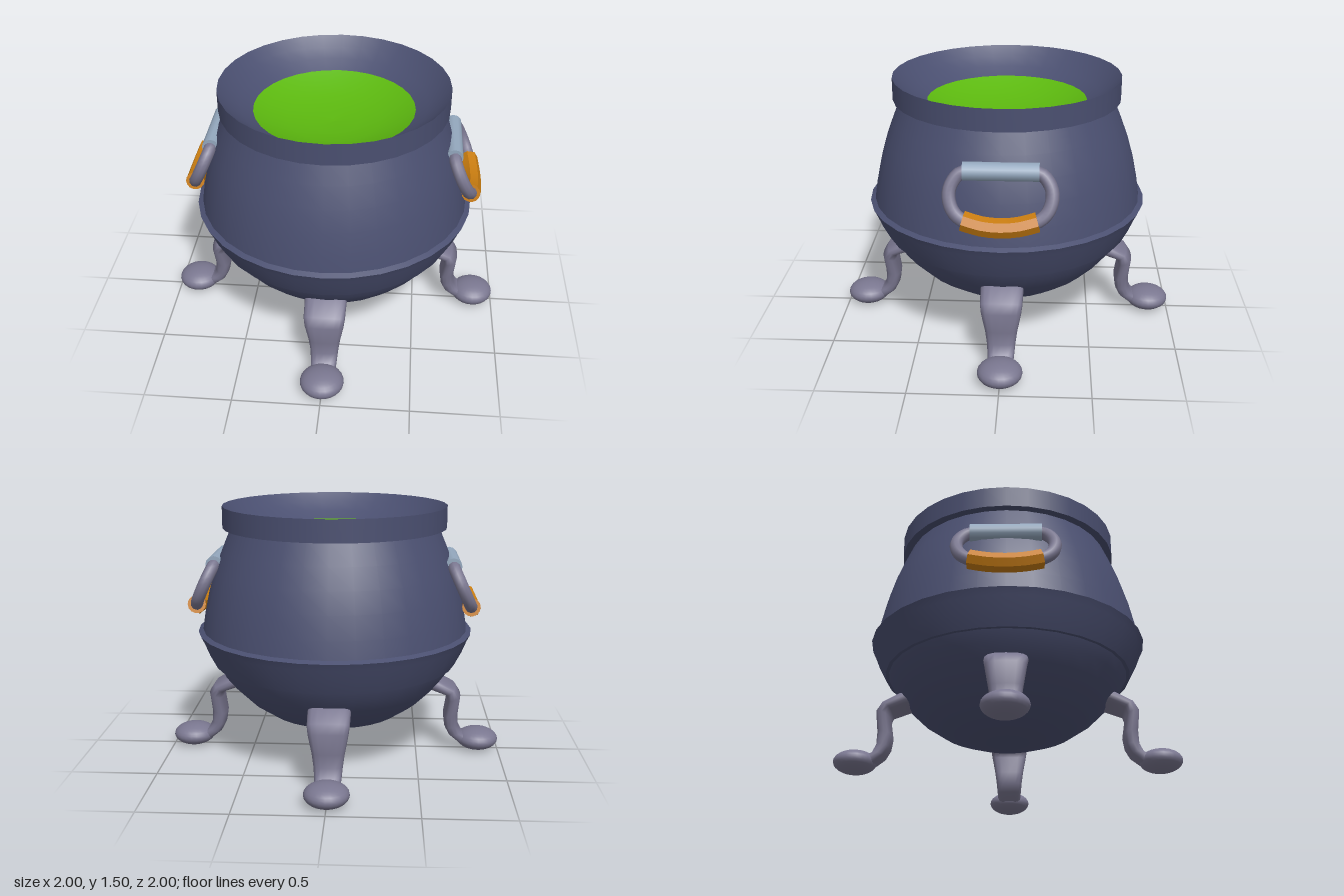
import * as THREE from 'three';
import { toCreasedNormals } from 'three/addons/utils/BufferGeometryUtils.js';

const material = (name, color) => {
  const m = new THREE.MeshStandardMaterial({ color });
  m.name = name;
  return m;
};

export function createModel() {
  const iron = material('dark iron', 0x4a4f70);
  const legIron = material('grey iron', 0x7a7790);
  const steel = material('pale steel', 0x94a8be);
  const copper = material('orange grip', 0xc87c10);
  const brew = material('green brew', 0x5cb80f);

  const model = new THREE.Group();
  model.name = 'cauldron';
  const add = (parent, name, geometry, mat) => {
    const mesh = new THREE.Mesh(geometry, mat);
    mesh.name = name;
    parent.add(mesh);
    return mesh;
  };
  const lathe = (name, points, mat) =>
    add(model, name, new THREE.LatheGeometry(points.map(p => new THREE.Vector2(...p)), 32), mat);

  // Pot, one lathe per smooth section so the edges between stay sharp
  lathe('bowl', [[0, 0.178], [0.13, 0.184], [0.27, 0.212], [0.4, 0.262], [0.52, 0.345],
    [0.61, 0.435], [0.67, 0.51], [0.705, 0.58]], iron);
  lathe('bandUnderside', [[0.69, 0.574], [0.722, 0.574]], iron);
  lathe('band', [[0.722, 0.574], [0.764, 0.655], [0.792, 0.725], [0.812, 0.766]], iron);
  lathe('bandTop', [[0.812, 0.766], [0.782, 0.78]], iron);
  lathe('shoulder', [[0.784, 0.776], [0.768, 0.88], [0.74, 1.01], [0.705, 1.13],
    [0.66, 1.25], [0.608, 1.375]], iron);
  lathe('rimUnderside', [[0.6, 1.374], [0.655, 1.374]], iron);
  lathe('rim', [[0.655, 1.374], [0.655, 1.5]], iron);
  lathe('rimInside', [[0.655, 1.5], [0.6, 1.445], [0.53, 1.395], [0.46, 1.355]], iron);
  lathe('brew', [[0.46, 1.355], [0.38, 1.32], [0.27, 1.288], [0.14, 1.268], [0, 1.262]], brew);

  // Leg stations: outer radius, outer y, inner radius, inner y, half width
  const stations = [
    [0.52, 0.5, 0.5, 0.42, 0.12], [0.62, 0.473, 0.58, 0.395, 0.12],
    [0.73, 0.412, 0.672, 0.362, 0.117], [0.764, 0.36, 0.682, 0.325, 0.11],
    [0.752, 0.24, 0.664, 0.22, 0.09], [0.755, 0.165, 0.674, 0.15, 0.08],
    [0.78, 0.115, 0.7, 0.1, 0.075], [0.84, 0.085, 0.76, 0.05, 0.07],
  ];
  const sides = 16;
  const soft = v => Math.sign(v) * Math.abs(v) ** 0.7;
  const positions = [], indices = [];
  stations.forEach(([or, oy, ir, iy, w], i) => {
    for (let j = 0; j < sides; j++) {
      const a = (j / sides) * Math.PI * 2;
      const c = soft(Math.cos(a)) / 2, s = soft(Math.sin(a));
      positions.push(s * w, (oy + iy) / 2 + c * (oy - iy), (or + ir) / 2 + c * (or - ir));
      if (i < stations.length - 1) {
        const k = (j + 1) % sides, p = i * sides, q = p + sides;
        indices.push(p + j, q + j, p + k, q + j, q + k, p + k);
      }
    }
  });
  const legGeometry = new THREE.BufferGeometry();
  legGeometry.setAttribute('position', new THREE.Float32BufferAttribute(positions, 3));
  legGeometry.setIndex(indices);
  legGeometry.computeVertexNormals();
  const footGeometry = new THREE.SphereGeometry(0.125, 24, 14).scale(1, 0.53, 1);

  // Four legs with rounded feet
  for (let i = 0; i < 4; i++) {
    const leg = new THREE.Group();
    leg.name = 'leg' + (i + 1);
    add(leg, 'shin', legGeometry, legIron);
    add(leg, 'foot', footGeometry, legIron).position.set(0, 0.07, 0.875);
    leg.rotation.y = i * Math.PI / 2;
    model.add(leg);
  }

  // Handle lies in a plane leaning out from the pot
  const onHandle = ([z, y]) => new THREE.Vector3(0.685 + (1.175 - y) * 0.46, y, z);
  const curve = points => new THREE.CatmullRomCurve3(points.map(onHandle));
  const half = [[0.15, 1.172], [0.215, 1.16], [0.262, 1.1], [0.268, 1.04], [0.24, 0.975], [0.18, 0.934]];
  const mirrored = half.map(([z, y]) => [-z, y]).reverse();
  const ringCurve = curve([...half, [0, 0.906], ...mirrored]);
  const gripCurve = curve([[0.195, 0.938], [0.1, 0.914], [0, 0.906], [-0.1, 0.914], [-0.195, 0.938]]);

  for (const side of [1, -1]) {
    const handle = new THREE.Group();
    handle.name = side > 0 ? 'leftHandle' : 'rightHandle';
    add(handle, 'ring', new THREE.TubeGeometry(ringCurve, 48, 0.036, 10), legIron);
    const bar = add(handle, 'hingeBar', new THREE.CylinderGeometry(0.05, 0.05, 0.4, 12), steel);
    bar.position.set(0.685, 1.172, 0);
    bar.rotation.x = Math.PI / 2;
    add(handle, 'grip', toCreasedNormals(new THREE.TubeGeometry(gripCurve, 8, 0.054, 7), 0.7), copper);
    for (const t of [0, 1]) {
      const cap = add(handle, 'gripEnd', new THREE.CircleGeometry(0.053, 14), copper);
      const end = gripCurve.getPoint(t);
      cap.position.copy(end);
      cap.lookAt(end.clone().addScaledVector(gripCurve.getTangent(t), t ? 1 : -1));
    }
    handle.rotation.y = side > 0 ? 0 : Math.PI;
    model.add(handle);
  }
  return model;
}
